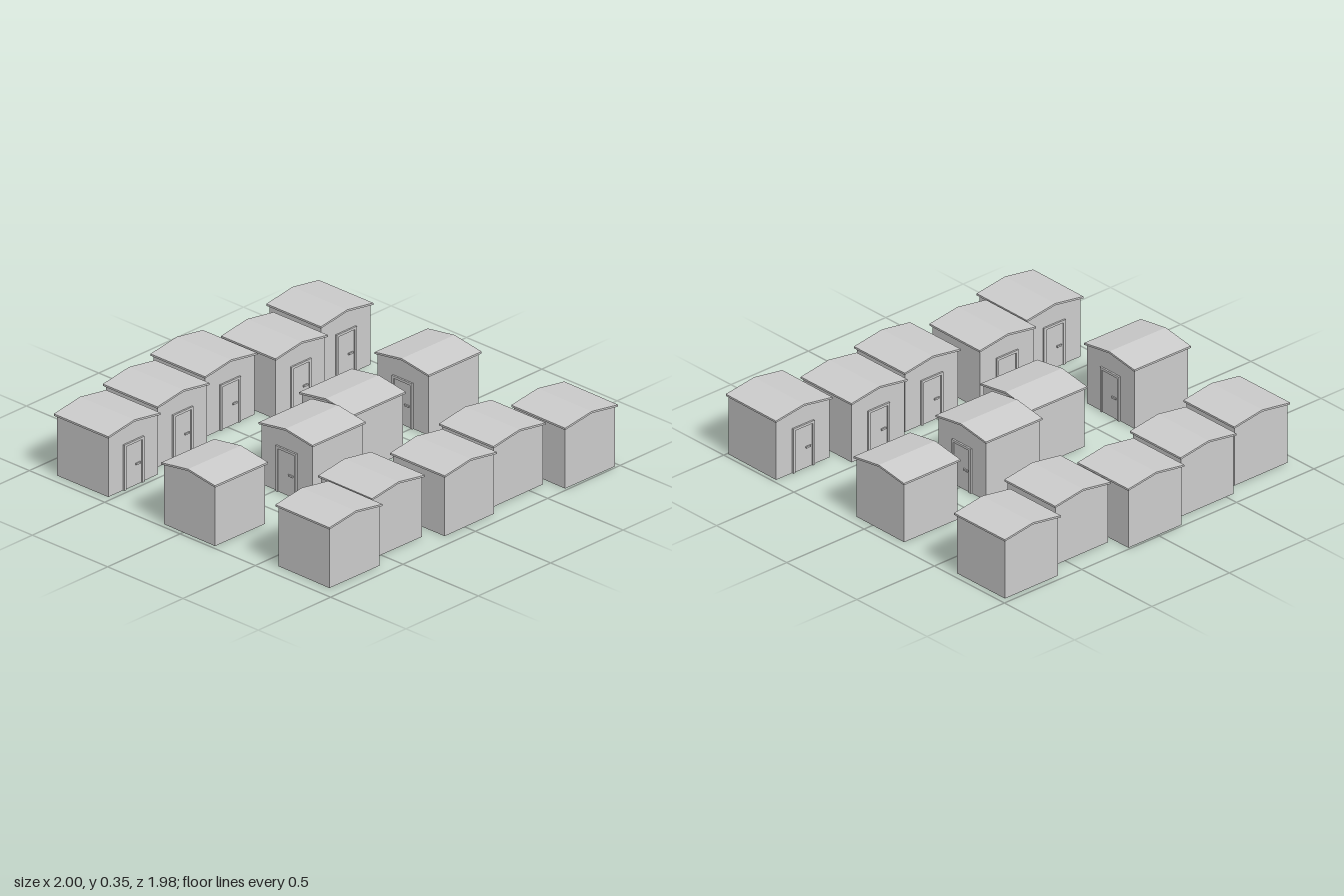
import * as THREE from 'three';
import { mergeGeometries } from 'three/addons/utils/BufferGeometryUtils.js';

const material = new THREE.MeshStandardMaterial({ color: 0xcccccc, flatShading: true });
const shellMaterial = new THREE.MeshStandardMaterial({
  color: 0xcccccc, flatShading: true, side: THREE.DoubleSide });

// Hut centres [x, z, turn]; the turn sets where the door faces, with a slight tilt.
const LEFT = Math.PI / 2, RIGHT = -Math.PI / 2;
const huts = [
  // left row, doors towards the middle
  [-0.798, -0.797, LEFT], [-0.711, -0.393, LEFT], [-0.819, -0.018, LEFT],
  [-0.755, 0.378, LEFT], [-0.698, 0.776, LEFT],
  // middle row
  [-0.057, -0.774, -0.01], [-0.014, -0.205, Math.PI - 0.01],
  [0.075, 0.166, -0.01], [0.044, 0.807, Math.PI - 0.012],
  // right row, doors towards the middle
  [0.817, -0.808, RIGHT - 0.012], [0.706, -0.424, RIGHT], [0.76, -0.031, RIGHT],
  [0.684, 0.388, RIGHT - 0.01], [0.757, 0.759, RIGHT - 0.01],
];

const WALL = 0.171;     // half width of the walls
const EAVE = 0.181;     // half width of the roof
const WALL_TOP = 0.32;  // wall height at the eaves

const outline = (points) => new THREE.Shape(points.map(([x, y]) => new THREE.Vector2(x, y)));

// Open shell: two gable ends and two side walls, no floor
function createWallsGeometry() {
  const gable = outline([[-WALL, 0], [WALL, 0], [WALL, WALL_TOP], [0, 0.345], [-WALL, WALL_TOP]]);
  const parts = [];
  for (const turn of [0, Math.PI]) {
    parts.push(new THREE.ShapeGeometry(gable).translate(0, 0, WALL).rotateY(turn));
    parts.push(new THREE.PlaneGeometry(WALL * 2, WALL_TOP)
      .translate(0, WALL_TOP / 2, WALL).rotateY(turn + Math.PI / 2));
  }
  return mergeGeometries(parts);
}

const wallsGeometry = createWallsGeometry();
const roofGeometry = new THREE.ExtrudeGeometry(
  outline([[-EAVE, 0.318], [0, 0.345], [EAVE, 0.318], [EAVE, 0.328], [0, 0.355], [-EAVE, 0.328]]),
  { depth: EAVE * 2, bevelEnabled: false }).translate(0, 0, -EAVE);

function box(name, w, h, d, x, y, z) {
  const mesh = new THREE.Mesh(new THREE.BoxGeometry(w, h, d), material);
  mesh.name = name;
  mesh.position.set(x, y, z);
  return mesh;
}

function createHut() {
  const hut = new THREE.Group();
  const walls = new THREE.Mesh(wallsGeometry, shellMaterial);
  walls.name = 'walls';
  const roof = new THREE.Mesh(roofGeometry, material);
  roof.name = 'gableRoof';
  hut.add(walls, roof);

  // Door with frame and handle, set through the gable wall
  const door = new THREE.Group();
  door.name = 'door';
  for (const side of [-1, 1]) door.add(box('doorJamb', 0.013, 0.23, 0.018, side * 0.0625, 0.115, WALL));
  door.add(box('lintel', 0.138, 0.013, 0.018, 0, 0.2365, WALL));
  door.add(box('doorPanel', 0.112, 0.23, 0.006, 0, 0.115, WALL));
  door.add(box('doorHandle', 0.03, 0.009, 0.01, 0.03, 0.112, WALL + 0.005));
  hut.add(door);
  return hut;
}

export function createModel() {
  const model = new THREE.Group();
  model.name = 'hutVillage';
  huts.forEach(([x, z, turn], i) => {
    const hut = createHut();
    hut.name = `hut${i + 1}`;
    hut.position.set(x, 0, z);
    hut.rotation.y = turn;
    model.add(hut);
  });
  return model;
}
